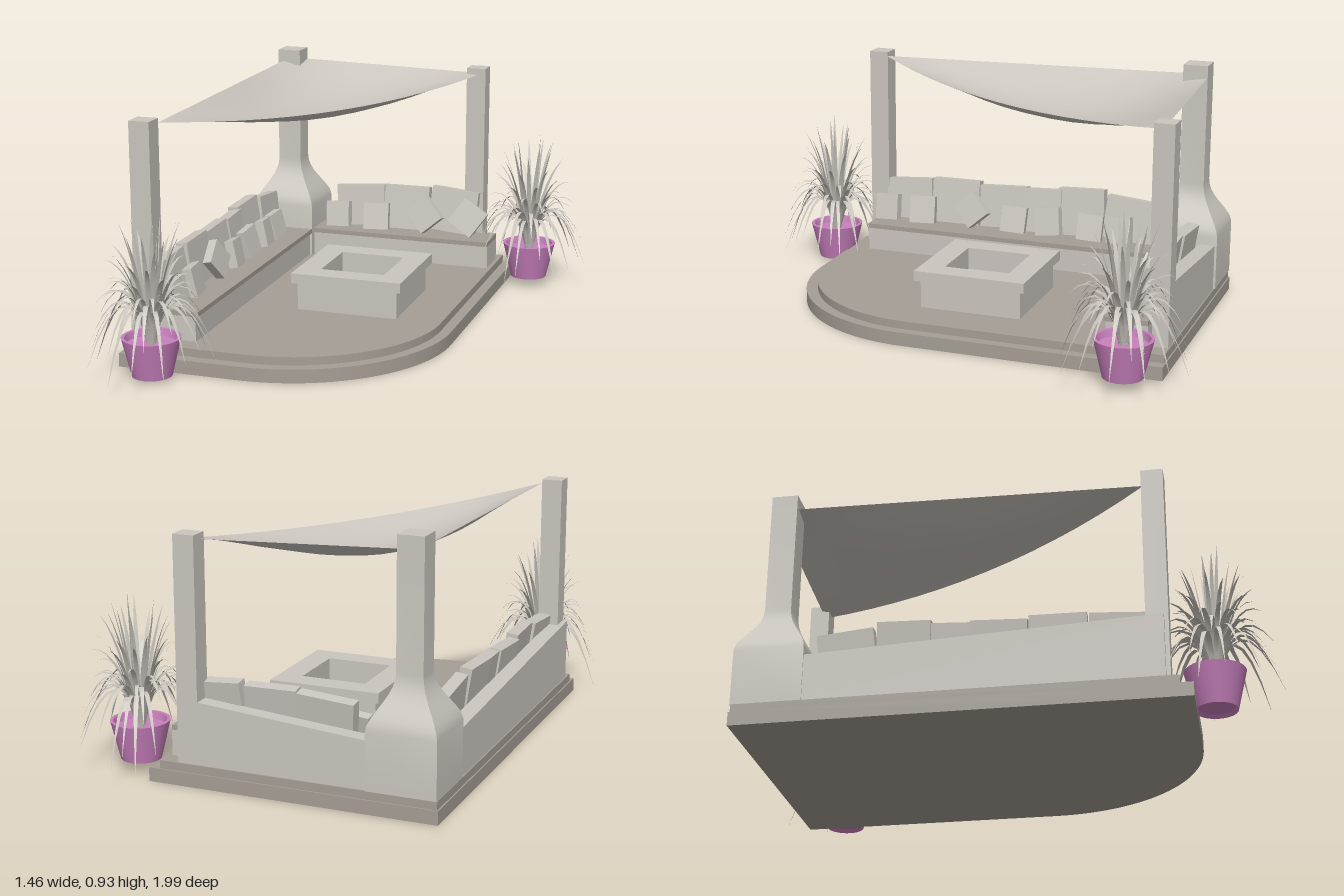
import * as THREE from 'three';
import { toCreasedNormals } from 'three/addons/utils/BufferGeometryUtils.js';

const pale = new THREE.MeshStandardMaterial({ color: 0xcac5be, side: THREE.DoubleSide });
pale.name = 'pale grey';
const taupe = new THREE.MeshStandardMaterial({ color: 0xa59e95 });
taupe.name = 'taupe';
const purple = new THREE.MeshStandardMaterial({ color: 0xc880bd });
purple.name = 'purple';

function add(parent, name, geometry, material) {
  const mesh = new THREE.Mesh(geometry, material);
  mesh.name = name;
  parent.add(mesh);
  return mesh;
}

// Box given by its limits on each axis
function box(parent, name, [x0, x1], [y0, y1], [z0, z1], material = pale) {
  const mesh = add(parent, name, new THREE.BoxGeometry(x1 - x0, y1 - y0, z1 - z0), material);
  mesh.position.set((x0 + x1) / 2, (y0 + y1) / 2, (z0 + z1) / 2);
  return mesh;
}

// Ground-plan shape extruded upwards from y0 to y1 (shape y is -z)
function slab(parent, name, shape, y0, y1, material) {
  const g = new THREE.ExtrudeGeometry(shape, { depth: y1 - y0, bevelEnabled: false, curveSegments: 14 });
  g.rotateX(-Math.PI / 2).translate(0, y0, 0);
  return add(parent, name, toCreasedNormals(g, 0.5), material);
}

// Terrace plan with one large rounded corner
function terrace(x0, x1, z0, z1) {
  const cx = -0.2, cz = 0.09;
  const s = new THREE.Shape();
  s.moveTo(x0, -z0);
  s.lineTo(x0, -z1);
  s.lineTo(cx, -z1);
  s.absellipse(cx, -cz, x1 - cx, z1 - cz, -Math.PI / 2, 0, false);
  s.lineTo(x1, -z0);
  s.closePath();
  return s;
}

// Square ring in plan
function ring(cx, cz, outer, inner) {
  const square = (p, h) => {
    p.moveTo(cx - h, -cz - h);
    p.lineTo(cx + h, -cz - h);
    p.lineTo(cx + h, -cz + h);
    p.lineTo(cx - h, -cz + h);
    p.closePath();
    return p;
  };
  const s = square(new THREE.Shape(), outer);
  s.holes.push(square(new THREE.Path(), inner));
  return s;
}

// Wall, bench and cushions; x runs along the bench, +z faces the seat
function seating(name, { wall, heights, bench, depth, backs, pillows }) {
  const g = new THREE.Group();
  g.name = name;
  const w = box(g, 'wall', wall, [0.08, 0.28], [0, 0.06]);
  const p = w.geometry.attributes.position;
  for (let i = 0; i < p.count; i++)
    if (p.getY(i) > 0) p.setY(i, heights[p.getX(i) < 0 ? 0 : 1] - w.position.y);
  w.geometry.computeVertexNormals();
  box(g, 'bench', bench, [0.08, 0.172], [0.06, depth - 0.008]);
  box(g, 'seat', bench, [0.172, 0.19], [0.06, depth], taupe);
  backs.forEach(([s, width, top, tilt], i) => {
    const c = add(g, 'backCushion', new THREE.BoxGeometry(width, top - 0.19, 0.045), pale);
    c.position.set(s, (top + 0.19) / 2, 0.084 + (i % 2) * 0.008);
    c.rotation.set(-0.14, (i % 2 - 0.5) * 0.06, tilt);
  });
  pillows.forEach(([s, size, tilt], i) => {
    const c = add(g, 'pillow', new THREE.BoxGeometry(size, size * 1.05, 0.035), pale);
    const half = size / 2 * (Math.abs(Math.cos(tilt)) + Math.abs(Math.sin(tilt)));
    c.position.set(s, 0.19 + half, 0.145);
    c.rotation.set(-0.22, (i % 2 - 0.5) * 0.2, tilt);
  });
  return g;
}

// Shade sail: triangle sagging in the middle and along its free edge
function sail() {
  const A = new THREE.Vector3(-0.545, 0.865, 0.54);
  const B = new THREE.Vector3(-0.55, 0.885, -0.8);
  const C = new THREE.Vector3(0.275, 0.857, -0.83);
  const n = 14, pos = [], idx = [];
  const id = (i, j) => i * (i + 1) / 2 + j;
  for (let i = 0; i <= n; i++) {
    for (let j = 0; j <= i; j++) {
      const b = 1 - i / n, c = j / n, a = 1 - b - c;
      const edge = 4 * Math.max(a * c, 0);
      const dip = 0.045 * edge + 0.09 * Math.pow(Math.max(27 * a * b * c, 0), 0.9);
      pos.push(a * A.x + b * B.x + c * C.x + 0.045 * edge,
        a * A.y + b * B.y + c * C.y - dip,
        a * A.z + b * B.z + c * C.z + 0.04 * edge);
      if (i < n) idx.push(id(i, j), id(i + 1, j), id(i + 1, j + 1));
      if (i < n && j < i) idx.push(id(i, j), id(i + 1, j + 1), id(i, j + 1));
    }
  }
  const g = new THREE.BufferGeometry();
  g.setAttribute('position', new THREE.Float32BufferAttribute(pos, 3));
  g.setIndex(idx);
  g.computeVertexNormals();
  return g;
}

// All blades of one plant: tapered ribbons, upright inside and drooping outside
function foliage(seed) {
  const rand = () => (seed = (seed * 16807) % 2147483647) / 2147483647;
  const pos = [], idx = [], count = 76, steps = 7;
  for (let k = 0; k < count; k++) {
    const f = k / (count - 1);
    const angle = k * 2.39996 + rand() * 0.3;
    const reach = 0.03 + 0.19 * Math.sqrt(f) + 0.025 * (rand() - 0.5);
    const tip = 0.48 * Math.pow(1 - f, 1.1) - 0.1 * f + 0.05 * (rand() - 0.5);
    const arch = 0.06 + 0.44 * f;
    const width = 0.009 + 0.003 * rand();
    const dx = Math.cos(angle), dz = Math.sin(angle);
    const start = pos.length / 3;
    for (let i = 0; i <= steps; i++) {
      const t = i / steps;
      const r = 0.015 + reach * Math.pow(t, 1.25);
      const y = tip * t + arch * t * (1 - t) * 1.5;
      const w = width * (0.6 + 0.8 * t) * (1 - t * t) + 0.0004;
      pos.push(dx * r - dz * w, y, dz * r + dx * w, dx * r + dz * w, y, dz * r - dx * w);
      if (i < steps) {
        const a = start + i * 2;
        idx.push(a, a + 2, a + 1, a + 1, a + 2, a + 3);
      }
    }
  }
  const g = new THREE.BufferGeometry();
  g.setAttribute('position', new THREE.Float32BufferAttribute(pos, 3));
  g.setIndex(idx);
  g.computeVertexNormals();
  return g;
}

function pottedPlant(name, x, y, z, seed) {
  const g = new THREE.Group();
  g.name = name;
  const profile = [[0, 0.012], [0.062, 0.012], [0.072, 0], [0.106, 0.14], [0.094, 0.14], [0.088, 0.115], [0, 0.115]];
  const pot = new THREE.LatheGeometry(profile.map(p => new THREE.Vector2(...p)), 28);
  add(g, 'pot', toCreasedNormals(pot, 0.5), purple);
  add(g, 'leaves', foliage(seed), pale).position.y = 0.115;
  g.position.set(x, y, z);
  return g;
}

export function createModel() {
  const model = new THREE.Group();
  model.name = 'terraceLounge';

  // Stepped terrace
  slab(model, 'lowerStep', terrace(-0.655, 0.405, -0.885, 0.69), 0, 0.05, taupe);
  slab(model, 'upperStep', terrace(-0.65, 0.365, -0.88, 0.645), 0.05, 0.08, taupe);

  // Benches along the back and the side
  const back = seating('backSeating', {
    wall: [-0.42, 0.29], heights: [0.25, 0.31], bench: [-0.42, 0.35], depth: 0.22,
    backs: [[-0.225, 0.21, 0.36, 0.07], [-0.025, 0.19, 0.37, 0], [0.175, 0.2, 0.37, -0.09]],
    pillows: [[-0.31, 0.1, 0.05], [-0.145, 0.105, 0.04], [0.065, 0.11, 0.7], [0.25, 0.115, -0.6]],
  });
  back.position.z = -0.875;
  const side = seating('sideSeating', {
    wall: [-0.6, 0.65], heights: [0.31, 0.25], bench: [-0.57, 0.65], depth: 0.245,
    backs: [[-0.44, 0.2, 0.355, 0.07], [-0.235, 0.2, 0.37, 0], [-0.03, 0.2, 0.36, 0.05],
      [0.14, 0.15, 0.365, 0.04], [0.3, 0.19, 0.38, 0.04], [0.5, 0.2, 0.36, -0.1]],
    pillows: [[-0.52, 0.1, 0.04], [-0.365, 0.105, 0.03], [-0.15, 0.105, 0.7], [0.03, 0.1, -0.05],
      [0.175, 0.105, 0.12], [0.35, 0.1, -0.04], [0.47, 0.1, 0.06]],
  });
  side.position.x = -0.645;
  side.rotation.y = Math.PI / 2;
  model.add(back, side);

  // Chimney with a concave flare on a square block
  const profile = [[0, 0.08], [0.125, 0.08], [0.125, 0.285]];
  for (let i = 1; i <= 8; i++) {
    const t = i / 8;
    profile.push([0.0475 + 0.0775 * (0.5 + 0.5 * Math.cos(Math.PI * Math.pow(t, 0.85))), 0.285 + 0.185 * t]);
  }
  profile.push([0.0475, 0.93], [0, 0.93]);
  const chimney = new THREE.LatheGeometry(
    profile.map(([h, y]) => new THREE.Vector2(h * Math.SQRT2, y)), 4, Math.PI / 4);
  add(model, 'chimney', toCreasedNormals(chimney, 0.5), pale).position.set(-0.5235, 0, -0.7585);

  // Posts and shade sail
  box(model, 'frontPost', [-0.625, -0.547], [0.08, 0.88], [0.537, 0.615]);
  box(model, 'backPost', [0.217, 0.295], [0.08, 0.88], [-0.875, -0.8]);
  add(model, 'shadeSail', sail(), pale);

  // Fire table with a sunken middle
  slab(model, 'tableBody', ring(0, -0.1, 0.195, 0.126), 0.08, 0.187, pale);
  slab(model, 'tableTop', ring(0, -0.1, 0.215, 0.125), 0.187, 0.225, pale);
  box(model, 'tableFloor', [-0.126, 0.126], [0.08, 0.14], [-0.226, 0.026]);

  // Potted plants
  model.add(pottedPlant('frontPlant', -0.495, 0.01, 0.755, 11));
  model.add(pottedPlant('backPlant', 0.5, 0.037, -0.77, 47));
  return model;
}
